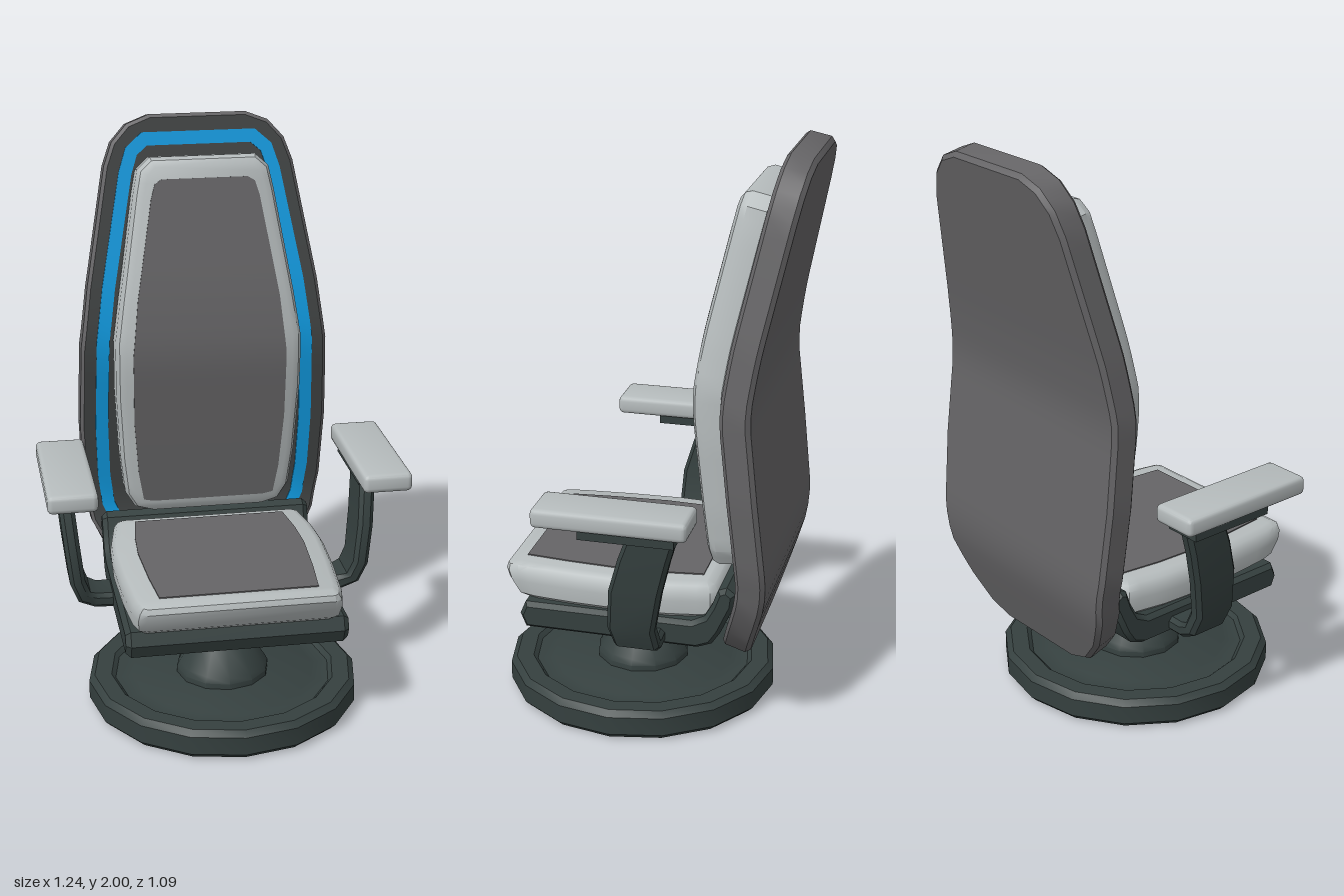
import * as THREE from 'three';
import { toCreasedNormals } from 'three/addons/utils/BufferGeometryUtils.js';
import { RoundedBoxGeometry } from 'three/addons/geometries/RoundedBoxGeometry.js';

const material = (name, color) => Object.assign(new THREE.MeshStandardMaterial({ color }), { name });

// Skin over equal rings of points, with optional strip-filled ends
function loft(rings, capStart, capEnd) {
  const n = rings[0].length, index = [];
  const quad = (a, b, c, d) => index.push(a, b, c, a, c, d);
  for (let k = 0; k < rings.length - 1; k++)
    for (let i = 0; i < n; i++) {
      const j = (i + 1) % n, p = k * n, q = p + n;
      quad(p + i, p + j, q + j, q + i);
    }
  const last = (rings.length - 1) * n;
  for (let i = 0; i < n / 2 - 1; i++) {
    if (capStart) quad(n - 1 - i, n - 2 - i, i + 1, i);
    if (capEnd) quad(last + i, last + i + 1, last + n - 2 - i, last + n - 1 - i);
  }
  const g = new THREE.BufferGeometry();
  g.setAttribute('position', new THREE.Float32BufferAttribute(rings.flat(2), 3));
  g.setIndex(index);
  return g;
}

// Symmetric closed outline from [halfWidth, y] rows, subdivided along y
function outline(rows) {
  const right = [rows[0]];
  for (let i = 1; i < rows.length; i++) {
    const [x0, y0] = rows[i - 1], [x1, y1] = rows[i];
    const steps = Math.ceil((y1 - y0) / 0.06);
    for (let s = 1; s <= steps; s++) right.push([x0 + (x1 - x0) * s / steps, y0 + (y1 - y0) * s / steps]);
  }
  return [...right, ...right.map(([x, y]) => [-x, y]).reverse()];
}

// Move an outline inwards by d
function inset(pts, d) {
  const n = pts.length;
  return pts.map(([x, y], i) => {
    const [ax, ay] = pts[(i + n - 1) % n], [bx, by] = pts[(i + 1) % n];
    const l1 = Math.hypot(x - ax, y - ay), l2 = Math.hypot(bx - x, by - y);
    const nx = -(y - ay) / l1 - (by - y) / l2, ny = (x - ax) / l1 + (bx - x) / l2;
    const k = 2 * d / (nx * nx + ny * ny);
    return [x + nx * k, y + ny * k];
  });
}

// Gently rounded polyline z(y)
function bendCurve(pts) {
  const at = y => {
    let i = 1;
    while (i < pts.length - 1 && y > pts[i][0]) i++;
    const [y0, z0] = pts[i - 1], [y1, z1] = pts[i];
    return z0 + (z1 - z0) * (y - y0) / (y1 - y0);
  };
  return y => (at(y - 0.06) + at(y - 0.02) + at(y + 0.02) + at(y + 0.06)) / 4;
}

// Bent panel: rings are [inset, depth along the panel's normal]
function panel(rows, rings, bend, capStart, capEnd) {
  const base = outline(rows);
  return loft(rings.map(([d, depth]) => inset(base, d).map(([x, y]) => {
    const slope = (bend(y + 0.01) - bend(y - 0.01)) / 0.02, l = Math.hypot(1, slope);
    return [x, y - slope / l * depth, bend(y) + depth / l];
  })), capStart, capEnd);
}

export function createModel() {
  const model = new THREE.Group();
  model.name = 'swivelChair';
  const dark = material('darkMetal', 0x35403f);
  const light = material('lightGreyPadding', 0xb6bcbd);
  const grey = material('greyFabric', 0x656466);
  const rim = material('charcoalFace', 0x404343);
  const blue = material('blueTrim', 0x0f9ae0);

  const add = (name, geometry, mat, parent = model) => {
    const mesh = new THREE.Mesh(toCreasedNormals(geometry, 0.6), mat);
    mesh.name = name;
    parent.add(mesh);
    return mesh;
  };
  const lathe = (pts, sides) => new THREE.LatheGeometry(pts.map(p => new THREE.Vector2(...p)), sides);

  // Round base with a shallow dish, and the pedestal
  add('base', lathe([[0, 0], [0.46, 0], [0.48, 0.02], [0.48, 0.085], [0.46, 0.105], [0.4, 0.105],
    [0.385, 0.09], [0.34, 0.088], [0.325, 0.095], [0, 0.095]], 16), dark).position.z = 0.065;
  add('pedestal', lathe([[0.165, 0.09], [0.165, 0.115], [0.155, 0.135], [0.1, 0.22], [0.085, 0.23],
    [0.078, 0.232], [0.078, 0.35]], 12), dark).position.z = 0.065;

  // Seat pan: side profile in (z, y), turned up at the rear
  const profile = [[0.385, 0.337], [0.405, 0.385], [0.385, 0.432], [-0.2, 0.432], [-0.245, 0.455], [-0.27, 0.5],
    [-0.29, 0.555], [-0.32, 0.568], [-0.35, 0.545], [-0.345, 0.5], [-0.3, 0.4], [-0.27, 0.355], [-0.22, 0.335]];
  const pan = new THREE.ExtrudeGeometry(new THREE.Shape(profile.map(p => new THREE.Vector2(...p))),
    { depth: 0.73, bevelSize: 0.014, bevelThickness: 0.018, bevelOffset: -0.014, bevelSegments: 1 });
  pan.translate(0, 0, -0.365).rotateY(-Math.PI / 2);
  add('seatPan', pan, dark);

  // Seat cushion, laid flat, with its front undercut
  const flat = () => 0;
  const seat = panel([[0.32, -0.467], [0.345, -0.45], [0.36, -0.38], [0.375, -0.2], [0.382, 0], [0.375, 0.12],
    [0.35, 0.26], [0.32, 0.285]],
  [[0.03, 0.43], [0.005, 0.45], [0, 0.5], [0.005, 0.53], [0.018, 0.55], [0.04, 0.56]], flat, true, true);
  seat.rotateX(-Math.PI / 2);
  const p = seat.attributes.position;
  for (let i = 0; i < p.count; i++) {
    const y = p.getY(i), z = p.getZ(i);
    if (z > 0.3) p.setZ(i, z + (y > 0.52 ? (y - 0.52) * 0.4 : (y - 0.52) * 0.55) * (z - 0.3) / 0.16);
  }
  add('seatCushion', seat, light);
  add('seatInsert', panel([[0.27, -0.405], [0.285, -0.25], [0.296, -0.05], [0.29, 0.08], [0.272, 0.22]],
    [[0, 0.555], [0, 0.564]], flat, false, true).rotateX(-Math.PI / 2), grey);

  // Backrest shell with a charcoal front and blue trim
  const shellBend = bendCurve([[0.28, -0.275], [0.57, -0.365], [0.85, -0.335], [1.2, -0.297], [1.4, -0.325], [2, -0.452]]);
  const shellRows = [[0.18, 0.275], [0.27, 0.31], [0.35, 0.4], [0.415, 0.52], [0.44, 0.65], [0.45, 0.9], [0.442, 1.2],
    [0.412, 1.42], [0.335, 1.83], [0.305, 1.91], [0.25, 1.97], [0.17, 2]];
  add('backShell', panel(shellRows, [[0.014, -0.1], [0, -0.085], [0, -0.012], [0.012, 0]], shellBend, true, false), grey);
  add('backShellFront', panel(shellRows, [[0.012, 0]], shellBend, false, true), rim);
  add('blueTrim', panel([[0.27, 0.42], [0.34, 0.5], [0.375, 0.58], [0.39, 0.7], [0.396, 0.9], [0.388, 1.22],
    [0.36, 1.42], [0.285, 1.81], [0.258, 1.89], [0.2, 1.94]],
  [[0, -0.002], [0, 0.005], [0.045, 0.005], [0.045, -0.002]], shellBend, false, false), blue);

  // Back cushion and its fabric insert
  const padBend = bendCurve([[0.6, -0.237], [0.9, -0.207], [1.2, -0.178], [1.4, -0.207], [1.88, -0.312]]);
  add('backCushion', panel([[0.2, 0.58], [0.265, 0.6], [0.3, 0.66], [0.316, 0.8], [0.33, 1.05], [0.33, 1.25],
    [0.308, 1.4], [0.247, 1.76], [0.23, 1.84], [0.185, 1.88]],
  [[0.02, -0.115], [0, -0.1], [0, -0.035], [0.012, -0.012], [0.035, 0]], padBend, true, true), light);
  add('backInsert', panel([[0.2, 0.637], [0.237, 0.645], [0.255, 0.75], [0.27, 0.95], [0.272, 1.2], [0.25, 1.4],
    [0.19, 1.74], [0.175, 1.79], [0.15, 1.805]], [[0, -0.004], [0, 0.004]], padBend, false, true), grey);

  // Armrests: swept flat support [x, y, zFront, zBack], bracket and pad
  const path = [[0.35, 0.37, 0.02, -0.11], [0.44, 0.373, 0.02, -0.115], [0.484, 0.395, 0.035, -0.12],
    [0.508, 0.46, 0.05, -0.112], [0.524, 0.6, 0.04, -0.138], [0.535, 0.72, 0.005, -0.168], [0.538, 0.815, -0.03, -0.195]];
  for (const [side, s] of [['left', 1], ['right', -1]]) {
    const arm = new THREE.Group();
    arm.name = side + 'Armrest';
    model.add(arm);
    const rings = path.map(([x, y, zf, zb], i) => {
      const a = path[Math.max(i - 1, 0)], b = path[Math.min(i + 1, path.length - 1)];
      const tx = s * (b[0] - a[0]), ty = b[1] - a[1], l = Math.hypot(tx, ty);
      const h = 0.027, c = 0.014;
      const at = (u, z) => [s * x - ty / l * u, y + tx / l * u, z];
      return [at(h - c, zb), at(h, zb + c), at(h, zf - c), at(h - c, zf),
        at(c - h, zf), at(-h, zf - c), at(-h, zb + c), at(c - h, zb)];
    });
    add(side + 'ArmSupport', loft(rings, true, true), dark, arm);
    add(side + 'ArmBracket', new THREE.BoxGeometry(0.13, 0.034, 0.32), dark, arm).position.set(s * 0.535, 0.815, -0.035);
    add(side + 'ArmPad', new RoundedBoxGeometry(0.17, 0.066, 0.52, 2, 0.018), light, arm).position.set(s * 0.535, 0.862, 0.02);
  }
  return model;
}
